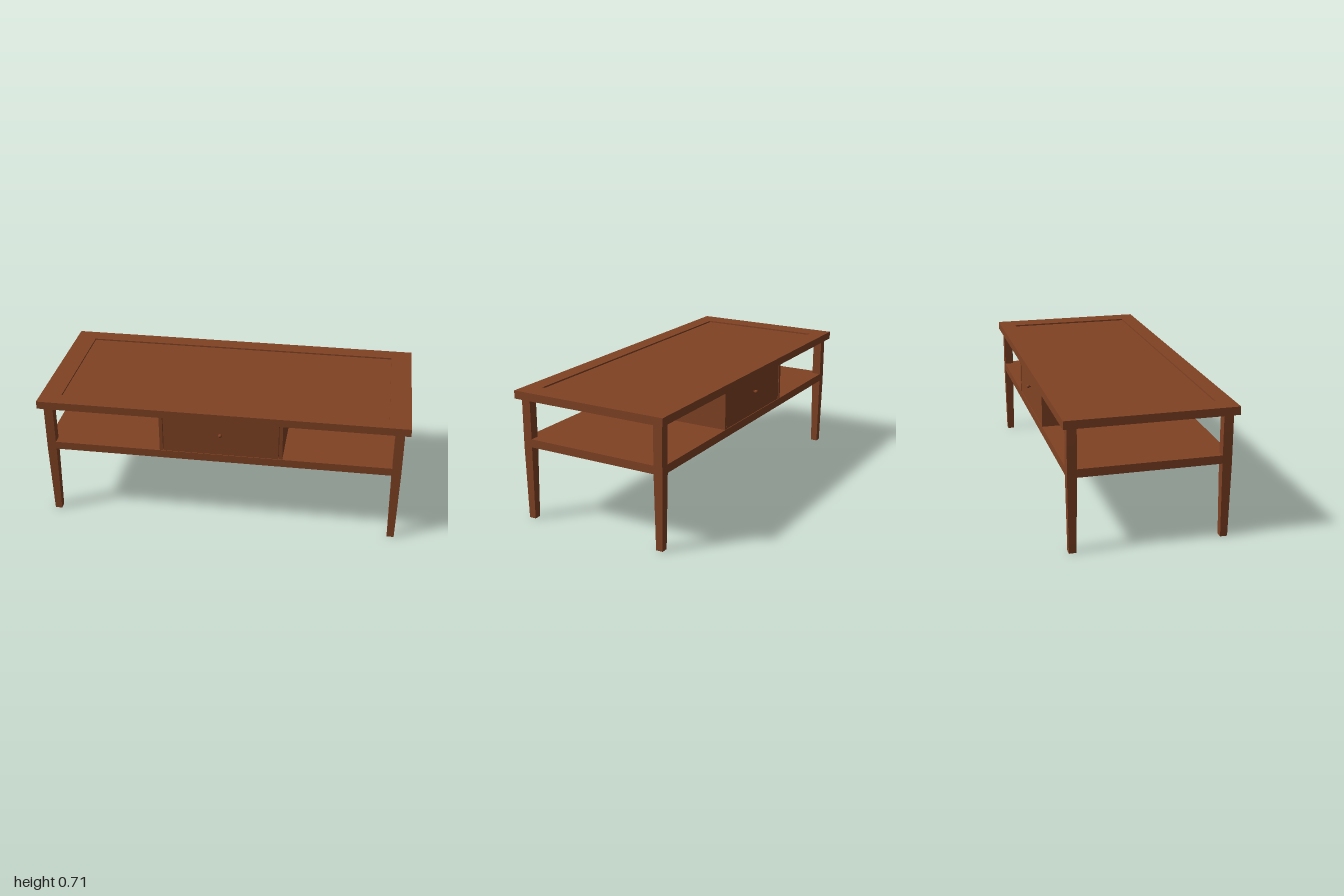
import * as THREE from 'three';

const wood = new THREE.MeshStandardMaterial({ color: 0x804224 });
wood.name = 'brownWood';

function add(parent, name, geometry, x = 0, y = 0, z = 0) {
  const mesh = new THREE.Mesh(geometry, wood);
  mesh.name = name;
  mesh.position.set(x, y, z);
  parent.add(mesh);
  return mesh;
}

// Box given by its bottom and top heights
function slab(parent, name, w, y0, y1, d, x = 0, z = 0) {
  return add(parent, name, new THREE.BoxGeometry(w, y1 - y0, d), x, (y0 + y1) / 2, z);
}

// Horizontal rectangular frame with an opening
function frame(parent, name, hx, hz, holeX, holeZ, y0, y1) {
  const rect = (path, a, b) => path.moveTo(-a, -b).lineTo(a, -b).lineTo(a, b).lineTo(-a, b).closePath();
  const shape = rect(new THREE.Shape(), hx, hz);
  shape.holes.push(rect(new THREE.Path(), holeX, holeZ));
  const geometry = new THREE.ExtrudeGeometry(shape, { depth: y1 - y0, bevelEnabled: false });
  geometry.rotateX(-Math.PI / 2);
  return add(parent, name, geometry, 0, y0, 0);
}

// Square leg, straight above the shelf and tapered below it
function legGeometry() {
  const geometry = new THREE.BoxGeometry(0.05, 0.667, 0.05, 1, 2, 1);
  geometry.translate(0, 0.3335, 0);
  const p = geometry.attributes.position;
  for (let i = 0; i < p.count; i++) {
    const y = p.getY(i);
    if (y < 0.01) p.setXYZ(i, p.getX(i) * 0.76, 0, p.getZ(i) * 0.76);
    else if (y < 0.6) p.setY(i, 0.405);
  }
  geometry.computeVertexNormals();
  return geometry;
}

export function createModel() {
  const table = new THREE.Group();
  table.name = 'coffeeTable';

  // Top: rabbeted frame holding a slightly sunken panel
  const top = new THREE.Group();
  top.name = 'tableTop';
  table.add(top);
  frame(top, 'topFrame', 1, 0.445, 0.885, 0.355, 0.69, 0.71);
  frame(top, 'lowerTopFrame', 1, 0.445, 0.865, 0.335, 0.667, 0.69);
  slab(top, 'topPanel', 1.77, 0.69, 0.702, 0.71);

  // Legs
  const leg = legGeometry();
  for (const sx of [-1, 1]) {
    for (const sz of [-1, 1]) add(table, 'leg', leg, sx * 0.945, 0, sz * 0.397);
  }

  // Shelf, flush with the outside of the legs
  slab(table, 'shelf', 1.94, 0.405, 0.449, 0.844);

  // Dividers and the drawer that opens to both sides
  for (const sx of [-1, 1]) slab(table, 'divider', 0.018, 0.449, 0.667, 0.84, sx * 0.326);
  const drawer = new THREE.Group();
  drawer.name = 'drawer';
  table.add(drawer);
  slab(drawer, 'drawerBox', 0.626, 0.449, 0.661, 0.836);

  // Knobs front and back
  const stem = new THREE.CylinderGeometry(0.005, 0.005, 0.02, 16).rotateX(Math.PI / 2);
  const ball = new THREE.SphereGeometry(0.01, 20, 14);
  for (const sz of [-1, 1]) {
    add(drawer, 'knobStem', stem, 0, 0.576, sz * 0.422);
    add(drawer, 'knob', ball, 0, 0.576, sz * 0.433);
  }
  return table;
}
